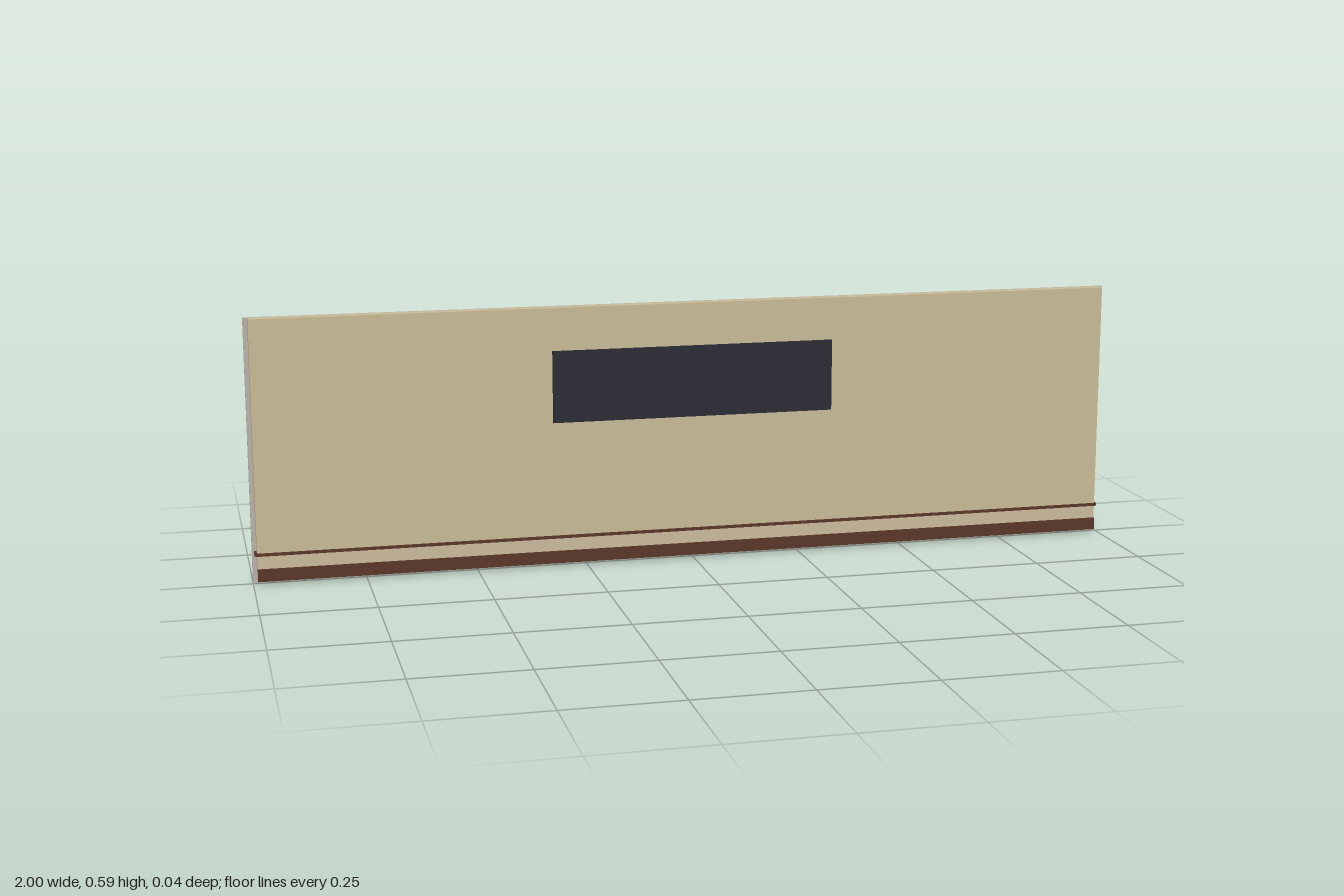
import * as THREE from 'three';

export function createModel() {
  const model = new THREE.Group();
  model.name = 'wallPanel';

  const material = (name, color) => {
    const m = new THREE.MeshStandardMaterial({ color });
    m.name = name;
    return m;
  };
  const beige = material('beige', 0xc8bb96);
  const paleBeige = material('paleBeige', 0xcabb9c);
  const grey = material('warmGrey', 0xb9b1a8);
  const brown = material('brown', 0x5a3628);
  const dark = material('darkSlate', 0x2c2c36);

  // A box given by its half width and its y and z limits, centred on x
  const slab = (name, mat, halfWidth, y0, y1, z0, z1) => {
    const mesh = new THREE.Mesh(new THREE.BoxGeometry(halfWidth * 2, y1 - y0, z1 - z0), mat);
    mesh.position.set(0, (y0 + y1) / 2, (z0 + z1) / 2);
    mesh.name = name;
    model.add(mesh);
  };

  // Front face, split at the thin trim line
  slab('mainPanel', beige, 0.99, 0.072, 0.594, -0.0105, 0.0145);
  slab('lowerPanel', paleBeige, 0.99, 0.008, 0.065, -0.0105, 0.0145);

  // Backing sheet and its thicker foot rail
  slab('backing', grey, 1.0, 0.042, 0.594, -0.0165, -0.0105);
  slab('footRail', grey, 1.0, 0, 0.042, -0.0205, -0.0105);

  // Trim line wraps the ends; skirting sits on the front
  slab('trimLine', brown, 0.995, 0.065, 0.072, -0.0105, 0.0165);
  slab('skirting', brown, 0.99, 0.008, 0.036, 0.0145, 0.0195);

  // Blank dark plate on the front
  slab('frontPlate', dark, 0.325, 0.334, 0.497, 0.0145, 0.0215);

  return model;
}
